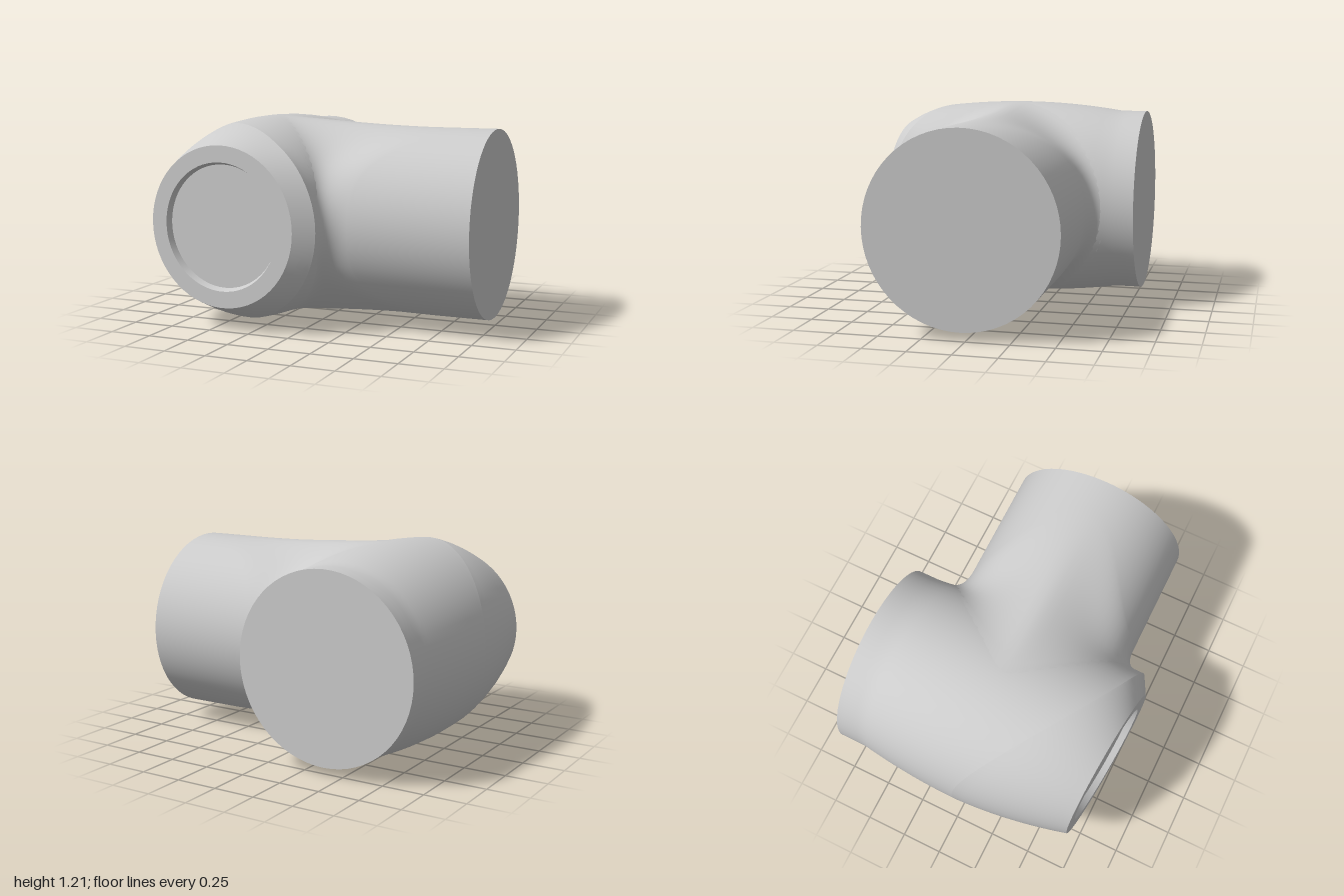
import * as THREE from 'three';

const SEG = 64;
const CX = -0.395, CY = 0.605, BZ = 0.03; // run axis x, shared axis height, branch axis z
const PIPE = 0.555; // radius at the pipe ends

// Swollen radius of the run along z
const bodyRadius = (z) => Math.max(PIPE, 0.605 - 0.126 * z * z);

// Closed skin through rings; point(i, angle) returns [x, y, z]
function loft(rings, point) {
  const pos = [], index = [];
  for (let i = 0; i < rings; i++) {
    for (let j = 0; j < SEG; j++) {
      pos.push(...point(i, (j / SEG) * Math.PI * 2));
      if (i === rings - 1) continue;
      const a = i * SEG + j, b = i * SEG + ((j + 1) % SEG);
      index.push(a, b, b + SEG, a, b + SEG, a + SEG);
    }
  }
  const g = new THREE.BufferGeometry();
  g.setAttribute('position', new THREE.Float32BufferAttribute(pos, 3));
  g.setIndex(index);
  g.computeVertexNormals();
  return g;
}

// Slanted edge where the run starts to narrow towards the front
function creasePoint(a) {
  const u = Math.cos(a);
  const z = 0.48 + 0.36 * u - 0.12 * u * u;
  const r = bodyRadius(z);
  return [CX + r * u, CY + r * Math.sin(a), z];
}

// Circle on the slightly tilted front face, sunk by depth
function frontPoint(r, a, depth = 0) {
  const dx = r * Math.cos(a);
  return [-0.425 + dx, CY + r * Math.sin(a), 0.74 + 0.086 * dx - depth];
}

// Profile of the branch with its flare into the run, for one angle
function branchCurve(a) {
  const s = -Math.sin(a), c = Math.cos(a);
  const r = PIPE + 0.1 * c * c + 0.049 * s * s;
  const R = bodyRadius(BZ + r * c);
  const w = Math.sqrt(Math.max(1e-6, R * R - r * r * s * s));
  const start = new THREE.Vector2(CX + w, r);
  const end = new THREE.Vector2(0.3 + 0.5 * s ** 4, PIPE);
  const len = start.distanceTo(end) * 0.42;
  const tangent = new THREE.Vector2((r * s * s) / w, -1).normalize();
  return new THREE.CubicBezierCurve(
    start,
    start.clone().addScaledVector(tangent, len),
    new THREE.Vector2(end.x - len, PIPE),
    end
  );
}

export function createModel() {
  const group = new THREE.Group();
  const grey = new THREE.MeshStandardMaterial({ color: 0xcccccc });
  grey.name = 'plain grey';
  const add = (name, geometry) => {
    const mesh = new THREE.Mesh(geometry, grey);
    mesh.name = name;
    group.add(mesh);
    return mesh;
  };

  // Run of the pipe, from the back end to the slanted crease
  const bodyRings = 25;
  add('mainPipe', loft(bodyRings, (i, a) => {
    const z = THREE.MathUtils.lerp(-0.787, creasePoint(a)[2], i / (bodyRings - 1));
    const r = bodyRadius(z);
    return [CX + r * Math.cos(a), CY + r * Math.sin(a), z];
  }));

  // Narrowing nose, bulged most on the side away from the branch
  const noseRings = 11;
  add('frontNose', loft(noseRings, (i, a) => {
    const t = i / (noseRings - 1);
    const p = creasePoint(a), q = frontPoint(0.47, a);
    const bulge = 4 * t * (1 - t) * (0.01 - 0.01 * Math.cos(a));
    return [
      THREE.MathUtils.lerp(p[0], q[0], t) + bulge * Math.cos(a),
      THREE.MathUtils.lerp(p[1], q[1], t) + bulge * Math.sin(a),
      THREE.MathUtils.lerp(p[2], q[2], t),
    ];
  }));

  // Front rim, shallow recess and its floor
  const hole = 0.373, floor = 0.358, depth = 0.04;
  add('frontRim', loft(2, (i, a) => frontPoint(i ? hole : 0.47, a)));
  add('recessWall', loft(2, (i, a) => frontPoint(i ? floor : hole, a, i * depth)));
  add('recessFloor', loft(2, (i, a) => frontPoint(i ? 0 : floor, a, depth)));

  // Side branch: flared joint followed by a straight pipe
  const flareRings = 21;
  add('sideBranch', loft(flareRings + 1, (i, a) => {
    const p = i < flareRings
      ? branchCurve(a).getPoint(i / (flareRings - 1))
      : new THREE.Vector2(1, PIPE);
    return [p.x, CY - p.y * Math.sin(a), BZ + p.y * Math.cos(a)];
  }));

  // Flat closed ends
  const disc = new THREE.CircleGeometry(PIPE, SEG);
  const back = add('backEnd', disc);
  back.position.set(CX, CY, -0.787);
  back.rotation.y = Math.PI;
  const side = add('branchEnd', disc);
  side.position.set(1, CY, BZ);
  side.rotation.y = Math.PI / 2;

  return group;
}
